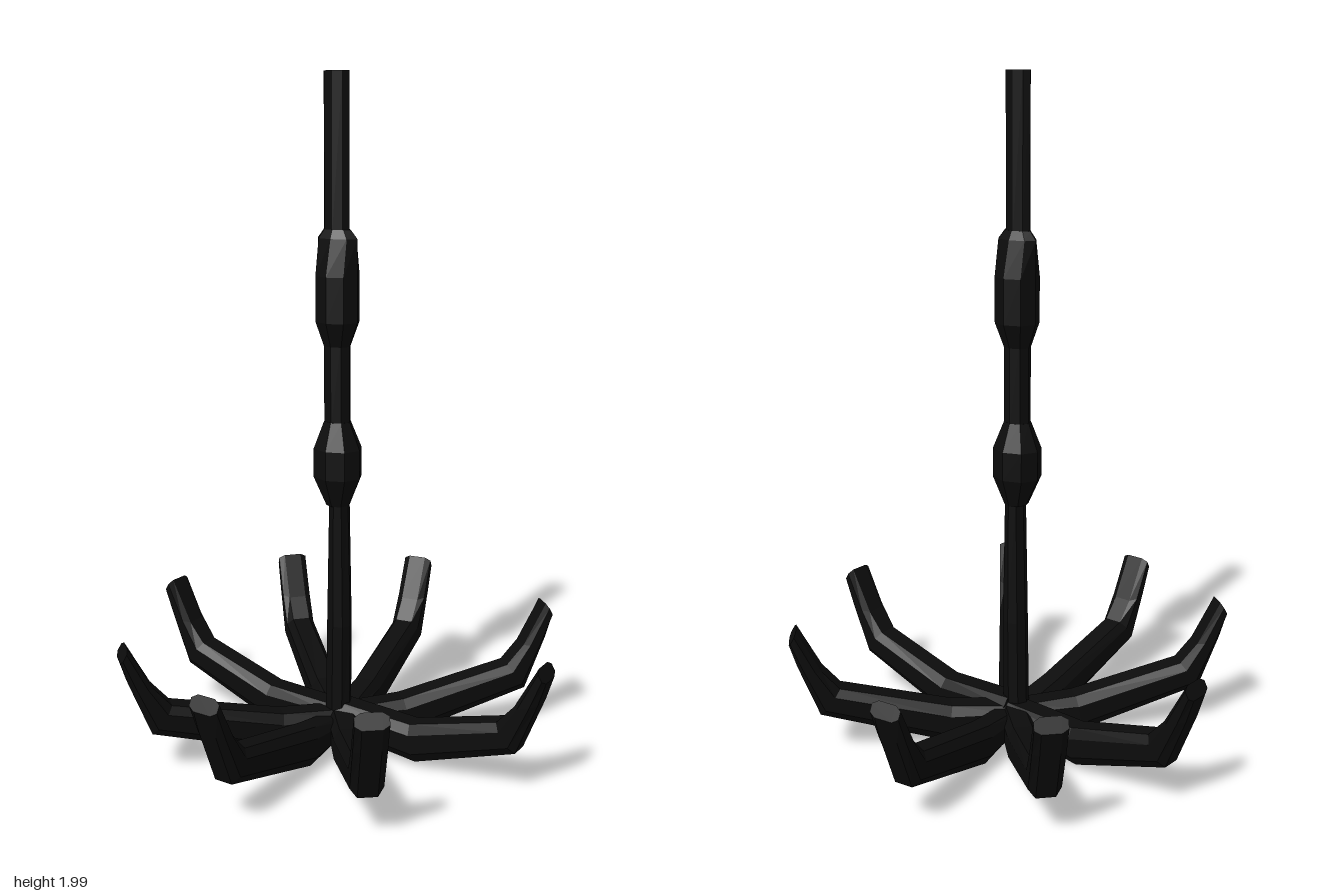
import * as THREE from 'three';

// Joins closed rings of points into a capped, flat-shaded skin
function loft(rings) {
  const n = rings[0].length, pos = [];
  const tri = (a, b, c) => pos.push(...a, ...b, ...c);
  for (let i = 0; i < rings.length - 1; i++) {
    for (let j = 0; j < n; j++) {
      const k = (j + 1) % n, a = rings[i], b = rings[i + 1];
      tri(a[j], a[k], b[k]);
      tri(a[j], b[k], b[j]);
    }
  }
  const first = rings[0], last = rings[rings.length - 1];
  for (let j = 1; j < n - 1; j++) {
    tri(first[0], first[j + 1], first[j]);
    tri(last[0], last[j], last[j + 1]);
  }
  const g = new THREE.BufferGeometry();
  g.setAttribute('position', new THREE.Float32BufferAttribute(pos, 3));
  g.computeVertexNormals();
  return g;
}

// Octagonal ring around the stem
function stemRing([y, cx, rx, rz]) {
  return Array.from({ length: 8 }, (_, i) => {
    const a = -i * Math.PI / 4;
    return [cx + Math.cos(a) * rx, y, Math.sin(a) * rz];
  });
}

// Chamfered ring across an arm that runs along +x: top point, bottom point, half width
function armRing([topX, topY, botX, botY], w) {
  const outline = [[0, 0.6], [0.25, 1], [0.75, 1], [1, 0.6], [1, -0.6], [0.75, -1], [0.25, -1], [0, -0.6]];
  return outline.map(([t, s]) => [botX + (topX - botX) * t, botY + (topY - botY) * t, s * w]).reverse();
}

export function createModel() {
  const model = new THREE.Group();
  const iron = new THREE.MeshStandardMaterial({ color: 0x0c0c0c });
  iron.name = 'blackIron';
  iron.flatShading = true;
  const add = (name, geometry) => {
    const mesh = new THREE.Mesh(geometry, iron);
    mesh.name = name;
    model.add(mesh);
    return mesh;
  };

  // Stem pieces: y, centre x, half width in x, half depth in z
  const stem = {
    lowerStem: [[0.01, -0.01, 0.003, 0.003], [0.06, -0.008, 0.04, 0.038], [0.4, -0.004, 0.038, 0.037], [0.79, -0.004, 0.029, 0.033]],
    lowerKnop: [[0.77, -0.008, 0.035, 0.036], [0.855, -0.01, 0.075, 0.066], [0.94, -0.01, 0.075, 0.066], [1.02, -0.011, 0.042, 0.036]],
    middleStem: [[1.0, -0.011, 0.041, 0.035], [1.27, -0.011, 0.041, 0.035]],
    upperKnop: [[1.24, -0.011, 0.041, 0.036], [1.31, -0.01, 0.066, 0.061], [1.44, -0.01, 0.066, 0.061], [1.545, -0.01, 0.066, 0.037], [1.57, -0.011, 0.045, 0.025]],
    upperStem: [[1.55, -0.013, 0.042, 0.024], [2, -0.013, 0.042, 0.024]],
  };
  for (const [name, rings] of Object.entries(stem)) add(name, loft(rings.map(stemRing)));

  // Arms: tip x, tip z, distance of the lowest point, height of the root
  const arms = {
    leftArm: [0.672, -0.014, 0.27, 0.155],
    frontLeftArm: [0.42, 0.51, 0.21, 0.13],
    frontArm: [-0.003, 0.665, 0.21, 0.11],
    frontRightArm: [-0.423, 0.513, 0.21, 0.13],
    rightArm: [-0.672, -0.037, 0.27, 0.14],
    backRightArm: [-0.487, -0.447, 0.21, 0.13],
    backArm: [-0.1, -0.665, 0.21, 0.12],
    backLeftArm: [0.457, -0.493, 0.21, 0.13],
  };
  const rootX = -0.004, rootZ = -0.01;
  for (const [name, [x, z, low, rootTop]] of Object.entries(arms)) {
    const dx = x - rootX, dz = z - rootZ;
    const reach = Math.hypot(dx, dz);
    const stations = [
      [0, rootTop, 0, 0.06],
      [low - 0.02, 0.143, low, 0.03],
      [0.525, 0.22, 0.585, 0.14],
      [0.578, 0.28, 0.648, 0.3],
      [0.648, 0.41, 0.67, 0.37],
    ];
    const arm = add(name, loft(stations.map((s) => armRing(s, 0.046))));
    arm.position.set(rootX, 0, rootZ);
    arm.rotation.y = Math.atan2(-dz, dx);
    arm.scale.x = reach / 0.67;
  }
  return model;
}
